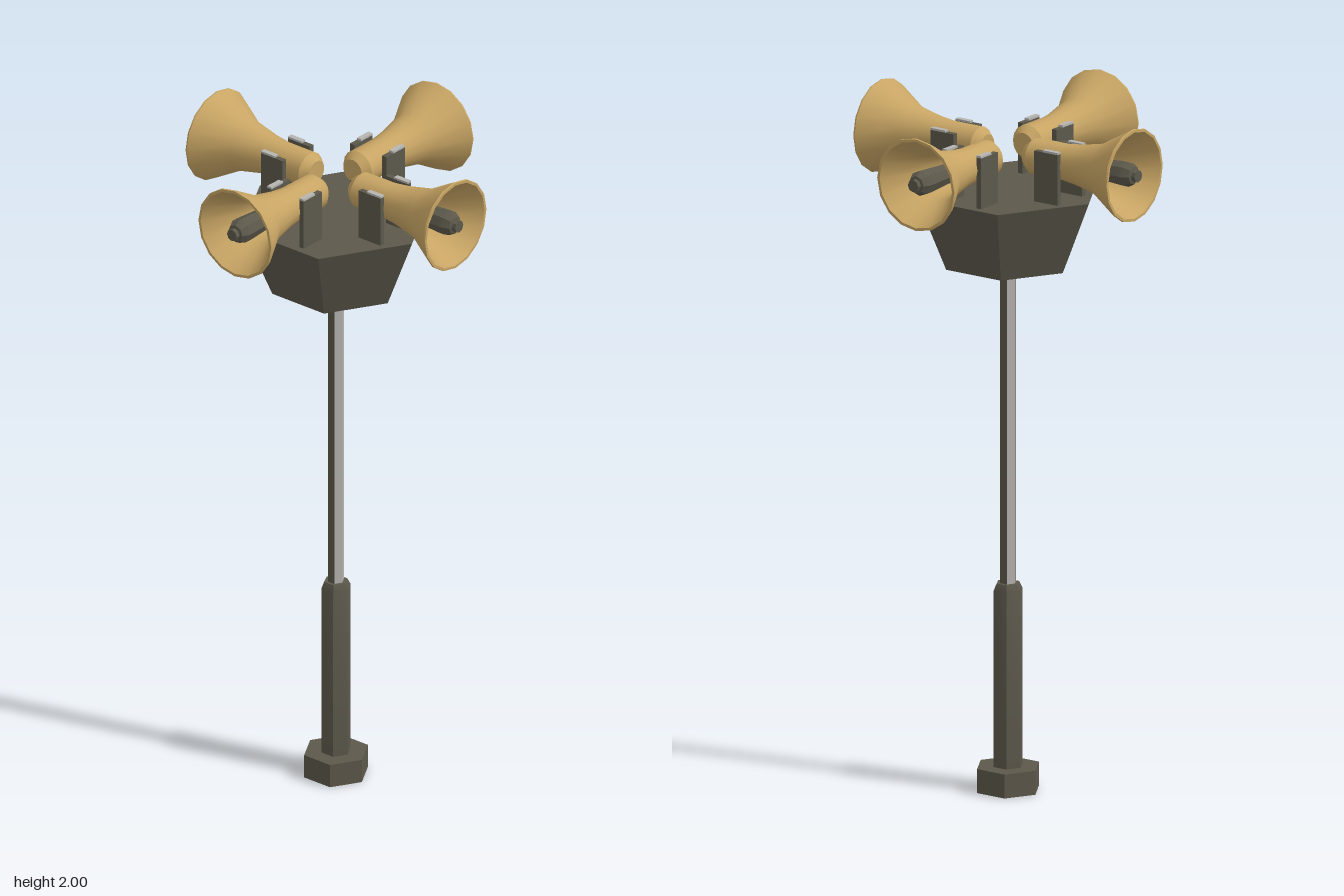
import * as THREE from 'three';
import { toCreasedNormals } from 'three/addons/utils/BufferGeometryUtils.js';

const brass = new THREE.MeshStandardMaterial({ color: 0xc8a564 });
brass.name = 'brass';
const darkMetal = new THREE.MeshStandardMaterial({ color: 0x5c584b });
darkMetal.name = 'dark metal';
const lightMetal = new THREE.MeshStandardMaterial({ color: 0xb6b5b1 });
lightMetal.name = 'light metal';

function add(parent, name, geometry, material, x = 0, y = 0, z = 0) {
  const mesh = new THREE.Mesh(geometry, material);
  mesh.name = name;
  mesh.position.set(x, y, z);
  parent.add(mesh);
  return mesh;
}

// Turned shape from [radius, height] pairs; corners of six-sided ones lie on the x axis
function turned(profile, sides) {
  const points = profile.map(([r, y]) => new THREE.Vector2(r, y));
  return toCreasedNormals(new THREE.LatheGeometry(points, sides, Math.PI / 2), 0.6);
}

// One horn pointing along +z, with its plug and a pair of brackets
function makeHorn() {
  const horn = new THREE.Group();
  horn.name = 'hornUnit';

  const bell = turned([
    [0, 0.072], [0.034, 0.072], [0.052, 0.095], [0.052, 0.2], [0.058, 0.25],
    [0.075, 0.33], [0.135, 0.435], [0.134, 0.44], [0.126, 0.44],
    [0.068, 0.335], [0.048, 0.25], [0.042, 0.2], [0, 0.2],
  ], 16);
  add(horn, 'hornBell', bell, brass, 0, 1.867, 0).rotation.x = Math.PI / 2;

  const plug = turned([
    [0.024, 0.2], [0.036, 0.4], [0.036, 0.42], [0.026, 0.438],
    [0.018, 0.44], [0.018, 0.453], [0, 0.453],
  ], 8);
  add(horn, 'hornPlug', plug, darkMetal, 0, 1.867, 0).rotation.x = Math.PI / 2;

  for (const side of [-1, 1]) {
    add(horn, 'bracket', new THREE.BoxGeometry(0.016, 0.15, 0.08), darkMetal, side * 0.059, 1.83, 0.18);
    add(horn, 'bracketCap', new THREE.BoxGeometry(0.016, 0.006, 0.05), lightMetal, side * 0.059, 1.908, 0.195);
  }
  return horn;
}

export function createModel() {
  const model = new THREE.Group();
  model.name = 'sirenTower';

  // Hollow foot and lower sleeve
  add(model, 'base', turned([
    [0, 0.045], [0.06, 0.045], [0.06, 0], [0.095, 0], [0.095, 0.07], [0, 0.07],
  ].map(([r, y]) => [r, y]), 6), darkMetal);
  add(model, 'sleeve', turned([
    [0.044, 0.07], [0.044, 0.585], [0.034, 0.605], [0, 0.605],
  ], 6), darkMetal);

  // Pole with dark strips on its front and back faces
  add(model, 'pole', turned([[0.0235, 0.6], [0.0235, 1.545]], 6), lightMetal);
  for (const side of [-1, 1]) {
    add(model, 'poleStrip', new THREE.BoxGeometry(0.0235, 0.94, 0.003), darkMetal, 0, 1.07, side * 0.0198);
  }

  // Flared platform
  add(model, 'platform', turned([
    [0, 1.54], [0.19, 1.54], [0.28, 1.757], [0, 1.757],
  ], 6), darkMetal);

  // Four horns around the platform
  for (let i = 0; i < 4; i++) {
    const horn = makeHorn();
    horn.rotation.y = i * Math.PI / 2;
    model.add(horn);
  }
  return model;
}
